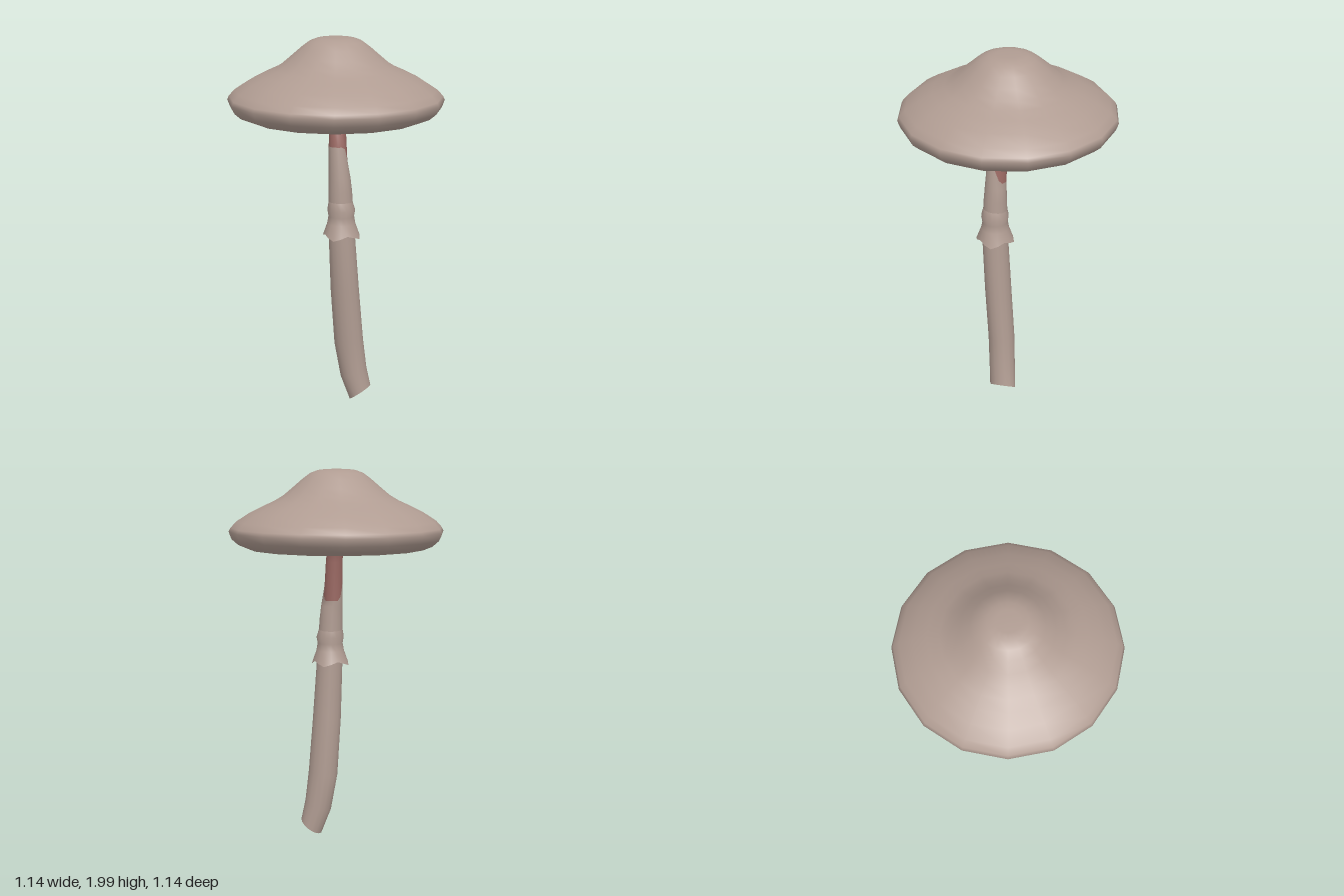
import * as THREE from 'three';

const SIDES = 16;

const taupe = new THREE.MeshStandardMaterial({ color: 0xb09c92 });
taupe.name = 'taupe';
const taupeThin = new THREE.MeshStandardMaterial({ color: 0xb09c92, side: THREE.DoubleSide });
taupeThin.name = 'taupe thin';
const red = new THREE.MeshStandardMaterial({ color: 0x9c6a64 });
red.name = 'dull red';

// Smooth tube through rings { x, y, z, rx, rz, lift(dx, dz), red }, listed bottom to top
function loft(rings, closeBase) {
  const pos = [], index = [], geo = new THREE.BufferGeometry();
  rings.forEach(({ x, y, z, rx, rz = rx, lift = () => 0, wave = () => 1 }) => {
    for (let j = 0; j < SIDES; j++) {
      const a = (j / SIDES) * Math.PI * 2;
      const dx = Math.sin(a), dz = Math.cos(a), w = wave(a);
      pos.push(x + dx * rx * w, y + lift(dx, dz, a), z + dz * rz * w);
    }
  });
  for (let i = 0; i < rings.length - 1; i++) {
    geo.addGroup(index.length, SIDES * 6, rings[i].red ? 1 : 0);
    for (let j = 0; j < SIDES; j++) {
      const k = (j + 1) % SIDES, a = i * SIDES + j, b = i * SIDES + k;
      index.push(a, b, a + SIDES, b, b + SIDES, a + SIDES);
    }
  }
  if (closeBase) {
    // Separate copy of the first ring keeps the cut edge sharp
    const start = pos.length / 3;
    pos.push(...pos.slice(0, SIDES * 3), rings[0].x, rings[0].y, rings[0].z);
    geo.addGroup(index.length, SIDES * 3, 0);
    for (let j = 0; j < SIDES; j++) index.push(start + SIDES, start + ((j + 1) % SIDES), start + j);
  }
  geo.setAttribute('position', new THREE.Float32BufferAttribute(pos, 3));
  geo.setIndex(index);
  geo.computeVertexNormals();
  return geo;
}

function lathe(name, points) {
  const geo = new THREE.LatheGeometry(points.map(([r, y]) => new THREE.Vector2(r, y)), SIDES);
  const mesh = new THREE.Mesh(geo, taupe);
  mesh.name = name;
  return mesh;
}

export function createModel() {
  const group = new THREE.Group();
  group.name = 'mushroom';

  // Cap: domed top with a rounded rim
  group.add(lathe('cap', [
    [0.47, 1.585], [0.52, 1.605], [0.555, 1.635], [0.57, 1.675], [0.56, 1.695], [0.53, 1.728],
    [0.46, 1.773], [0.39, 1.808], [0.33, 1.835], [0.28, 1.865], [0.23, 1.907], [0.18, 1.95],
    [0.14, 1.98], [0.1, 1.995], [0.06, 2], [0, 2],
  ]));

  // Underside: a grooved lip around a shallow hollow
  group.add(lathe('capUnderside', [
    [0, 1.67], [0.1, 1.665], [0.25, 1.648], [0.36, 1.63], [0.395, 1.612], [0.41, 1.595],
    [0.43, 1.592], [0.45, 1.602], [0.47, 1.585],
  ]));

  // Stem: leaning tube with a slanted cut base and a red patch under the cap
  const slope = (s) => (dx) => dx * s;
  const patchEdge = (dx, dz) => -0.14 * THREE.MathUtils.smoothstep(-dz, -0.6, 0.7);
  const stem = new THREE.Mesh(loft([
    { x: 0.145, y: 0.05, z: 0.0, rx: 0.055, rz: 0.072, lift: slope(0.04) },
    { x: 0.11, y: 0.17, z: 0.01, rx: 0.07, rz: 0.072, lift: slope(0.03) },
    { x: 0.085, y: 0.35, z: 0.02, rx: 0.079, rz: 0.072, lift: slope(0.015) },
    { x: 0.07, y: 0.65, z: 0.041, rx: 0.077, rz: 0.072 },
    { x: 0.06, y: 0.95, z: 0.058, rx: 0.07 },
    { x: 0.051, y: 1.2, z: 0.059, rx: 0.062 },
    { x: 0.046, y: 1.27, z: 0.058, rx: 0.058 },
    { x: 0.036, y: 1.44, z: 0.052, rx: 0.05, lift: patchEdge, red: true },
    { x: 0.028, y: 1.51, z: 0.044, rx: 0.045, red: true },
    { x: 0.02, y: 1.565, z: 0.031, rx: 0.043 },
    { x: 0.005, y: 1.67, z: 0.0, rx: 0.038 },
  ], true), [taupe, red]);
  stem.name = 'stem';
  group.add(stem);

  // Ring: wavy skirt flaring from a bulged collar
  const collar = { x: 0.057, z: 0.06 };
  const skirt = new THREE.Mesh(loft([
    { ...collar, y: 0.96, rx: 0.098, lift: (dx, dz, a) => -0.012 * Math.cos(4 * a), wave: (a) => 1 + 0.06 * Math.cos(4 * a) },
    { ...collar, y: 1.025, rx: 0.075 },
    { ...collar, y: 1.065, rx: 0.068 },
    { ...collar, y: 1.1, rx: 0.074 },
    { ...collar, y: 1.145, x: 0.053, rx: 0.063 },
  ], false), [taupeThin]);
  skirt.name = 'stemRing';
  group.add(skirt);

  return group;
}
